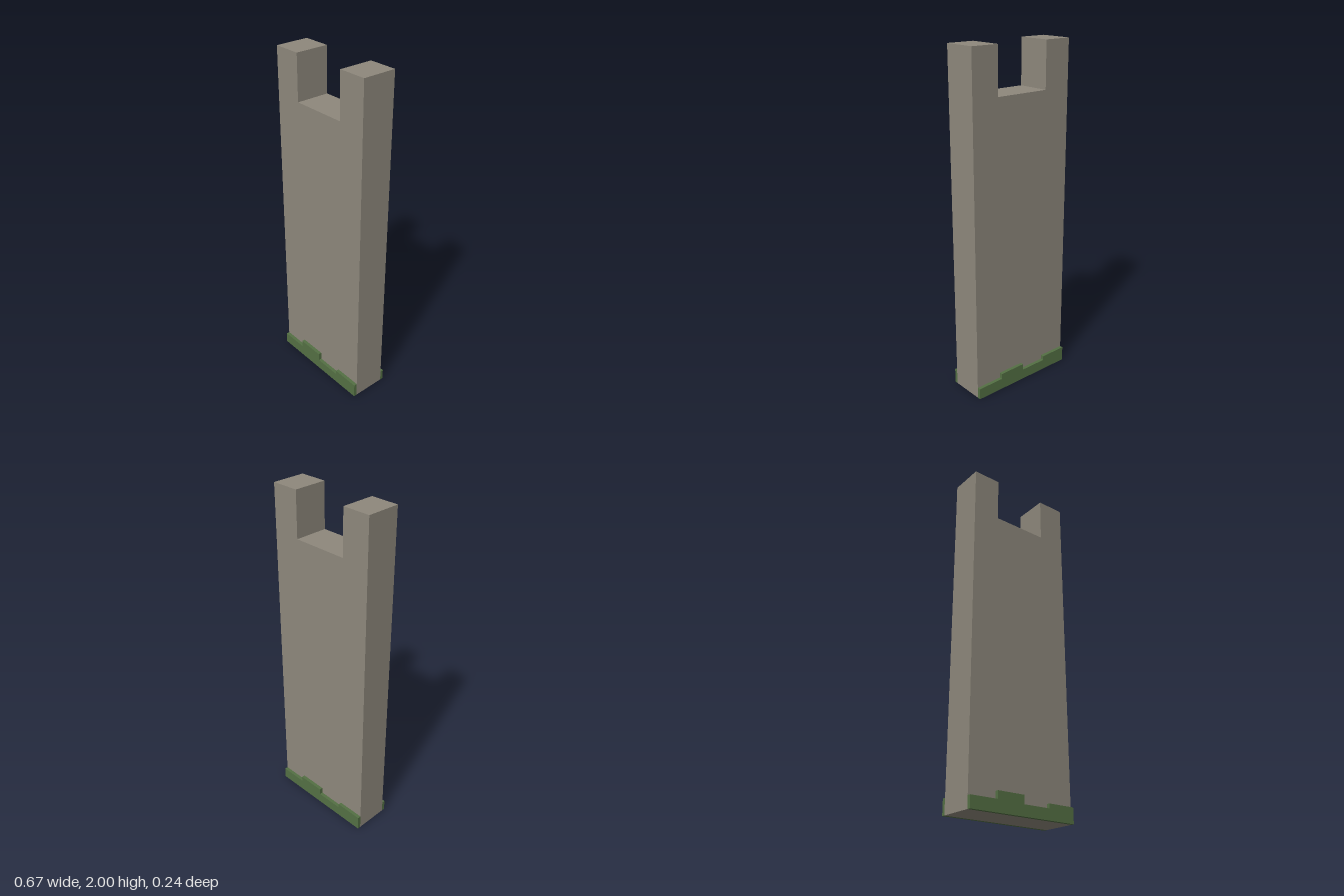
import * as THREE from 'three';

const stone = new THREE.MeshStandardMaterial({ name: 'stone', color: 0x8e887c });
const moss = new THREE.MeshStandardMaterial({ name: 'moss', color: 0x547044 });

const HALF = 1 / 3, NOTCH = 1 / 6, DEPTH = 0.2, MOSS_DEPTH = 0.02;

// Extrudes an outline in the xy plane from z = 0 forwards
function slab(name, points, depth, material) {
  const shape = new THREE.Shape(points.map(([x, y]) => new THREE.Vector2(x, y)));
  const geometry = new THREE.ExtrudeGeometry(shape, { depth, bevelEnabled: false });
  const mesh = new THREE.Mesh(geometry, material);
  mesh.name = name;
  return mesh;
}

// Stepped strip: one height per equal segment, from left to right
function mossStrip(name, heights) {
  const width = (2 * HALF) / heights.length;
  const points = [[HALF, 0]];
  for (let i = heights.length - 1; i >= 0; i--) {
    const x = -HALF + i * width;
    points.push([x + width, heights[i]], [x, heights[i]]);
  }
  points.push([-HALF, 0]);
  return slab(name, points, MOSS_DEPTH, moss);
}

export function createModel() {
  const model = new THREE.Group();
  model.name = 'battlementWall';

  // Wall with a notch between two merlons
  const wall = slab('wall', [
    [-HALF, 0], [HALF, 0], [HALF, 2], [NOTCH, 2],
    [NOTCH, 1.735], [-NOTCH, 1.735], [-NOTCH, 2], [-HALF, 2],
  ], DEPTH, stone);
  wall.position.z = -DEPTH / 2;
  model.add(wall);

  // Moss along the foot of both faces
  const front = mossStrip('frontMoss', [0.067, 0.11, 0.062, 0.088]);
  front.position.z = DEPTH / 2;
  const back = mossStrip('backMoss', [0.067, 0.1, 0.062, 0.088]);
  back.rotation.y = Math.PI;
  back.position.z = -DEPTH / 2;
  model.add(front, back);

  return model;
}
